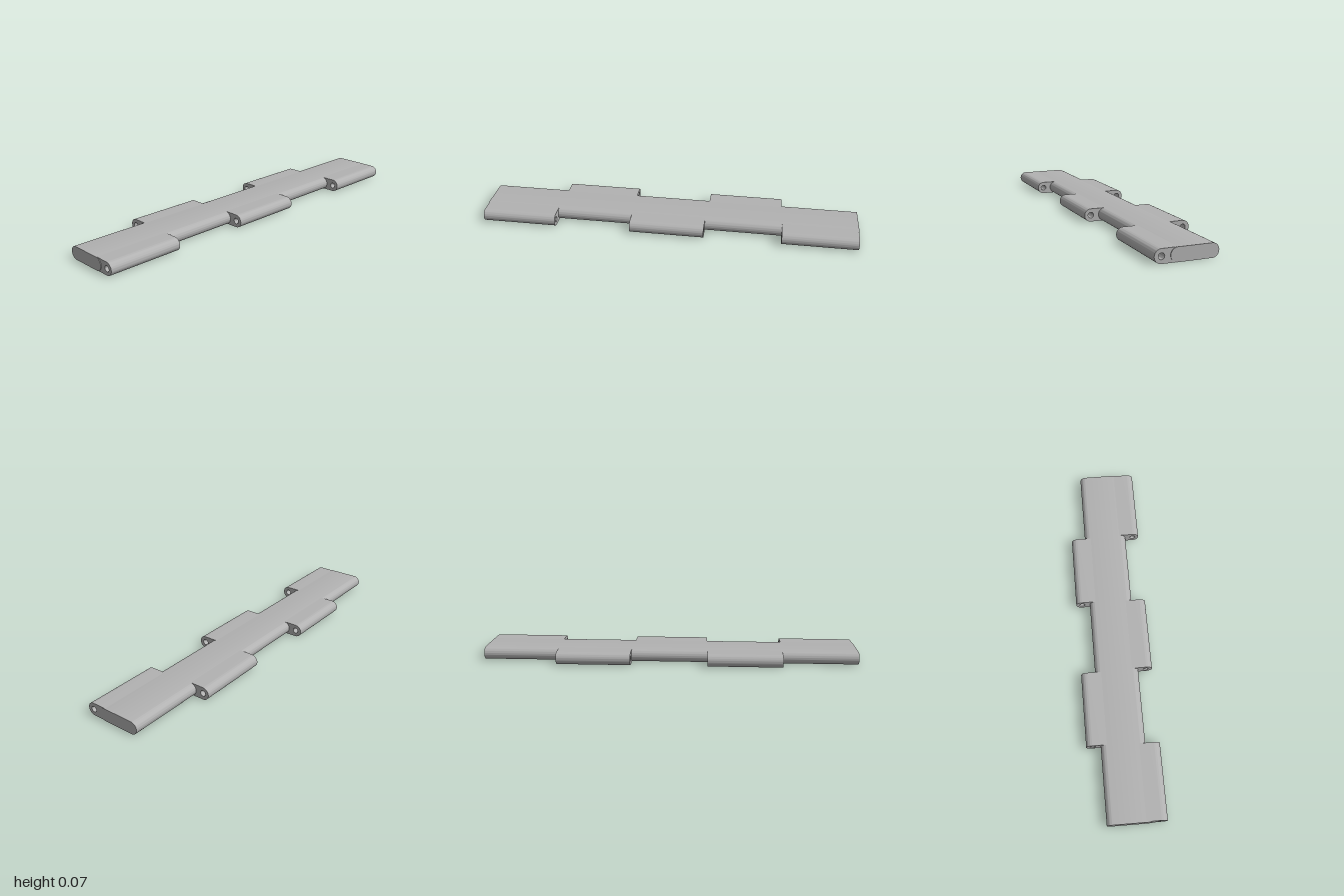
import * as THREE from 'three';
import { toCreasedNormals } from 'three/addons/utils/BufferGeometryUtils.js';

const R = 0.0335;       // half thickness
const CORE_X = 0.0825;  // centre of the rounded core edges
const HINGE_X = 0.158;  // hinge pin axis
const HOLE_R = 0.015;
const GAP = 0.003;      // clearance at each knuckle end

// Extrudes a profile along z with smooth rounded edges
function extrude(shape, length) {
  const geometry = new THREE.ExtrudeGeometry(shape, { depth: length, bevelEnabled: false, curveSegments: 20 });
  geometry.translate(0, 0, -length / 2);
  return toCreasedNormals(geometry, 0.6);
}

// Flat bar with fully rounded long edges
function coreShape() {
  const s = new THREE.Shape();
  s.moveTo(-CORE_X, 0);
  s.lineTo(CORE_X, 0);
  s.absarc(CORE_X, R, R, -Math.PI / 2, Math.PI / 2, false);
  s.lineTo(-CORE_X, 2 * R);
  s.absarc(-CORE_X, R, R, Math.PI / 2, Math.PI * 1.5, false);
  return s;
}

// Hinge knuckle hugging the rounded core edge, with a pin hole
function knuckleShape() {
  const s = new THREE.Shape();
  s.moveTo(CORE_X, 0);
  s.lineTo(HINGE_X, 0);
  s.absarc(HINGE_X, R, R, -Math.PI / 2, Math.PI / 2, false);
  s.lineTo(CORE_X, 2 * R);
  s.absarc(CORE_X, R, R, Math.PI / 2, -Math.PI / 2, true);
  const hole = new THREE.Path();
  hole.absarc(HINGE_X, R, HOLE_R, 0, Math.PI * 2, true);
  s.holes.push(hole);
  return s;
}

export function createModel() {
  const group = new THREE.Group();
  group.name = 'hingeSlat';
  const grey = new THREE.MeshStandardMaterial({ color: 0xb2b2b2 });
  grey.name = 'grey';

  const core = new THREE.Mesh(extrude(coreShape(), 2), grey);
  core.name = 'core';
  group.add(core);

  // Five knuckles alternate between the two long edges
  const knuckle = extrude(knuckleShape(), 0.4 - 2 * GAP);
  for (let i = 0; i < 5; i++) {
    const onLeft = i % 2 === 0;
    const mesh = new THREE.Mesh(knuckle, grey);
    mesh.name = (onLeft ? 'leftKnuckle' : 'rightKnuckle') + (i + 1);
    mesh.rotation.y = onLeft ? 0 : Math.PI;
    mesh.position.z = 0.8 - 0.4 * i;
    group.add(mesh);
  }
  return group;
}
